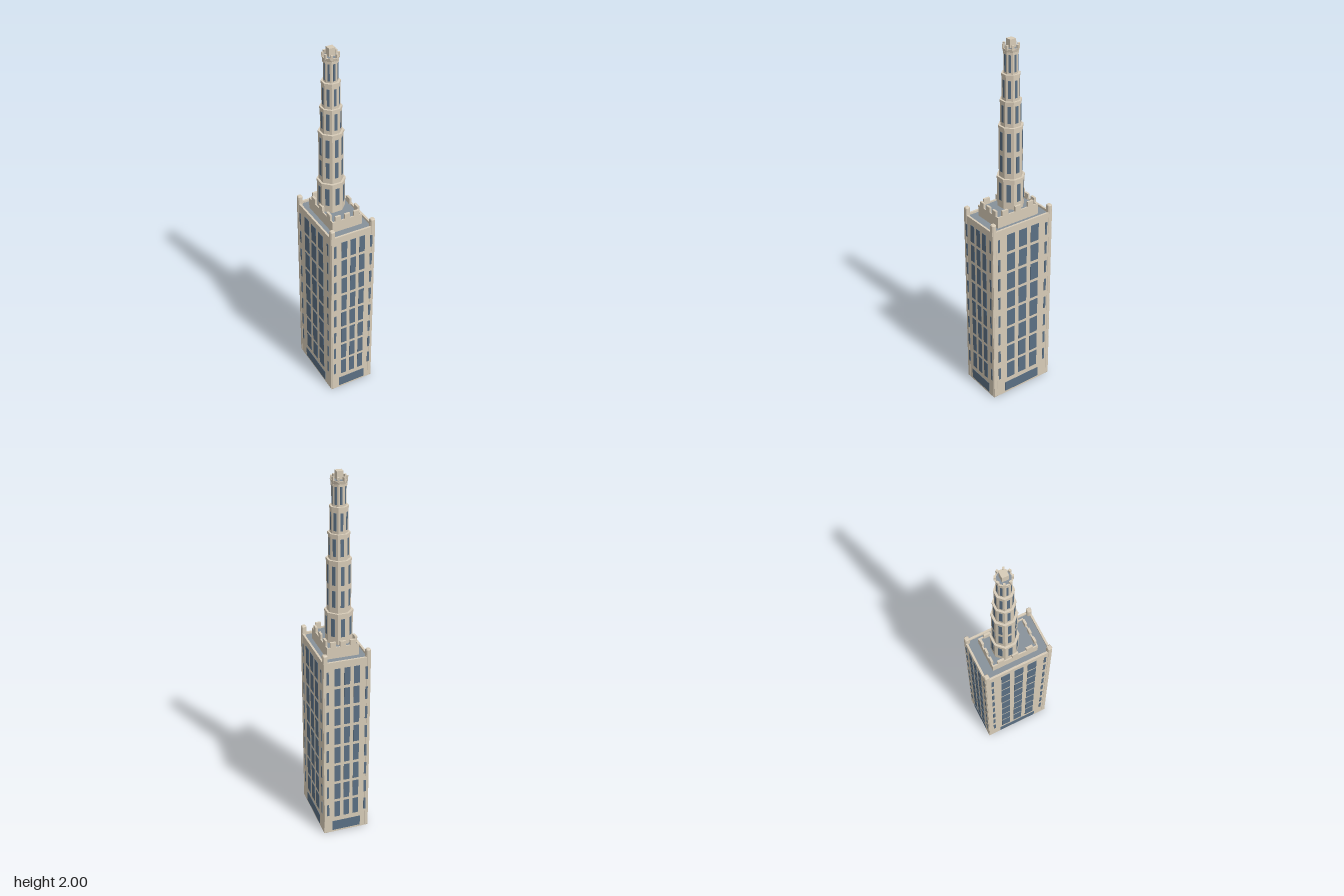
import * as THREE from 'three';

const stone = new THREE.MeshStandardMaterial({ color: 0xd8ccb8, flatShading: true });
const glass = new THREE.MeshStandardMaterial({ color: 0x5b7084, flatShading: true });
const roofing = new THREE.MeshStandardMaterial({ color: 0x87919a, flatShading: true });

function add(parent, name, geometry, material, x = 0, y = 0, z = 0) {
  const mesh = new THREE.Mesh(geometry, material);
  mesh.name = name;
  mesh.position.set(x, y, z);
  parent.add(mesh);
  return mesh;
}

// Box standing between two heights
function block(parent, name, w, d, y0, y1, material, x = 0, z = 0) {
  return add(parent, name, new THREE.BoxGeometry(w, y1 - y0, d), material, x, (y0 + y1) / 2, z);
}

// Rectangular frame of wall thickness t, standing between two heights
function rim(parent, name, w, d, t, y0, y1) {
  const s = new THREE.Shape();
  s.moveTo(-w / 2, -d / 2).lineTo(w / 2, -d / 2).lineTo(w / 2, d / 2).lineTo(-w / 2, d / 2).closePath();
  const h = new THREE.Path();
  const a = w / 2 - t, b = d / 2 - t;
  h.moveTo(-a, -b).lineTo(-a, b).lineTo(a, b).lineTo(a, -b).closePath();
  s.holes.push(h);
  const g = new THREE.ExtrudeGeometry(s, { depth: y1 - y0, bevelEnabled: false });
  g.rotateX(-Math.PI / 2);
  return add(parent, name, g, stone, 0, y0, 0);
}

// Eight-sided prism with flat sides facing the local axes
function octagon(parent, name, rTop, rBottom, y0, y1, material) {
  const g = new THREE.CylinderGeometry(rTop, rBottom, y1 - y0, 8);
  g.rotateY(Math.PI / 8);
  return add(parent, name, g, material, 0, (y0 + y1) / 2, 0);
}

// One wall of windows, facing +z at the given distance
function windowWall(distance, colPitch, colWidth, slitX, entryWidth) {
  const wall = new THREE.Group();
  wall.name = 'windowWall';
  for (let row = 0; row < 8; row++) {
    const y = 0.152 + row * 0.118;
    for (const i of [-1, 0, 1]) {
      block(wall, 'window', colWidth, 0.004, y - 0.05, y + 0.05, glass, i * colPitch, distance);
    }
    for (const s of [-1, 1]) {
      block(wall, 'slitWindow', 0.013, 0.004, y - 0.037, y + 0.037, glass, s * slitX, distance);
    }
  }
  block(wall, 'entrance', entryWidth, 0.004, 0.012, 0.072, glass, 0, distance);
  return wall;
}

export function createModel() {
  const model = new THREE.Group();
  model.name = 'skyscraper';
  const building = new THREE.Group();
  building.name = 'building';
  building.rotation.y = -0.607;
  model.add(building);

  // Main block with recessed roof and parapet
  const W = 0.382, D = 0.255;
  block(building, 'mainBlock', W, D, 0, 1.045, stone);
  block(building, 'mainRoof', W - 0.02, D - 0.02, 1.04, 1.055, roofing);
  rim(building, 'parapet', W, D, 0.011, 1.045, 1.067);
  for (let i = 0; i < 4; i++) {
    const wall = i % 2
      ? windowWall(W / 2, 0.052, 0.032, 0.106, 0.16)
      : windowWall(D / 2, 0.077, 0.051, 0.153, 0.23);
    wall.rotation.y = i * Math.PI / 2;
    building.add(wall);
  }

  // Chamfered corner piers
  const c = 0.013, k = 0.008;
  const pierShape = new THREE.Shape([[c, k], [k, c], [-k, c], [-c, k], [-c, -k], [-k, -c], [k, -c], [c, -k]]
    .map(([x, y]) => new THREE.Vector2(x, y)));
  const pierGeo = new THREE.ExtrudeGeometry(pierShape, {
    depth: 1.105, bevelEnabled: true, bevelSize: 0.003, bevelOffset: -0.003, bevelThickness: 0.005, bevelSegments: 1,
  });
  pierGeo.rotateX(-Math.PI / 2);
  pierGeo.scale(1, 1.11 / 1.115, 1);
  pierGeo.translate(0, 0.005, 0);
  for (const sx of [-1, 1]) for (const sz of [-1, 1]) {
    add(building, 'cornerPier', pierGeo, stone, sx * (W / 2 - 0.0115), 0, sz * (D / 2 - 0.0115));
  }

  // Penthouse with battlements
  const PW = 0.258, PD = 0.172;
  block(building, 'penthouse', PW, PD, 1.05, 1.105, stone);
  block(building, 'penthouseRoof', PW - 0.01, PD - 0.01, 1.1, 1.109, roofing);
  rim(building, 'penthouseRim', PW, PD, 0.007, 1.105, 1.117);
  for (const s of [-1, 1]) for (const i of [-1, 0, 1]) {
    block(building, 'merlon', 0.036, 0.012, 1.11, 1.145, stone, i * 0.081, s * (PD / 2 - 0.006));
    block(building, 'merlon', 0.012, 0.03, 1.11, 1.145, stone, s * (PW / 2 - 0.006), i * 0.053);
  }

  // Stepped eight-sided tower: radius, bottom, top, window rows
  const tower = new THREE.Group();
  tower.name = 'tower';
  tower.position.set(-0.025, 0, 0.011);
  building.add(tower);
  const tiers = [
    [0.072, 1.10, 1.28, [[1.15, 1.25]]],
    [0.063, 1.28, 1.56, [[1.31, 1.40], [1.43, 1.53]]],
    [0.054, 1.56, 1.695, [[1.58, 1.67]]],
    [0.046, 1.695, 1.83, [[1.71, 1.80]]],
    [0.037, 1.83, 1.94, [[1.84, 1.93]]],
  ];
  for (const [r, y0, y1, rows] of tiers) {
    octagon(tower, 'towerTier', r, r, y0, y1, stone);
    octagon(tower, 'towerBand', r + 0.003, r + 0.003, y1 - 0.012, y1, stone);
    const apothem = r * Math.cos(Math.PI / 8);
    for (let i = 0; i < 8; i++) {
      const a = i * Math.PI / 4;
      for (const [b, t] of rows) {
        const pane = block(tower, 'towerWindow', r * 0.3, 0.003, b, t, glass,
          apothem * Math.sin(a), apothem * Math.cos(a));
        pane.rotation.y = a;
      }
    }
  }

  // Crown
  octagon(tower, 'crown', 0.044, 0.038, 1.935, 1.957, stone);
  octagon(tower, 'crownRoof', 0.036, 0.036, 1.955, 1.959, roofing);
  for (let i = 0; i < 8; i++) {
    const a = (i + 0.5) * Math.PI / 4;
    const m = block(tower, 'crownMerlon', 0.011, 0.011, 1.95, 1.975, stone, 0.038 * Math.sin(a), 0.038 * Math.cos(a));
    m.rotation.y = a;
  }
  block(tower, 'topBlock', 0.034, 0.034, 1.95, 2, stone);
  return model;
}
